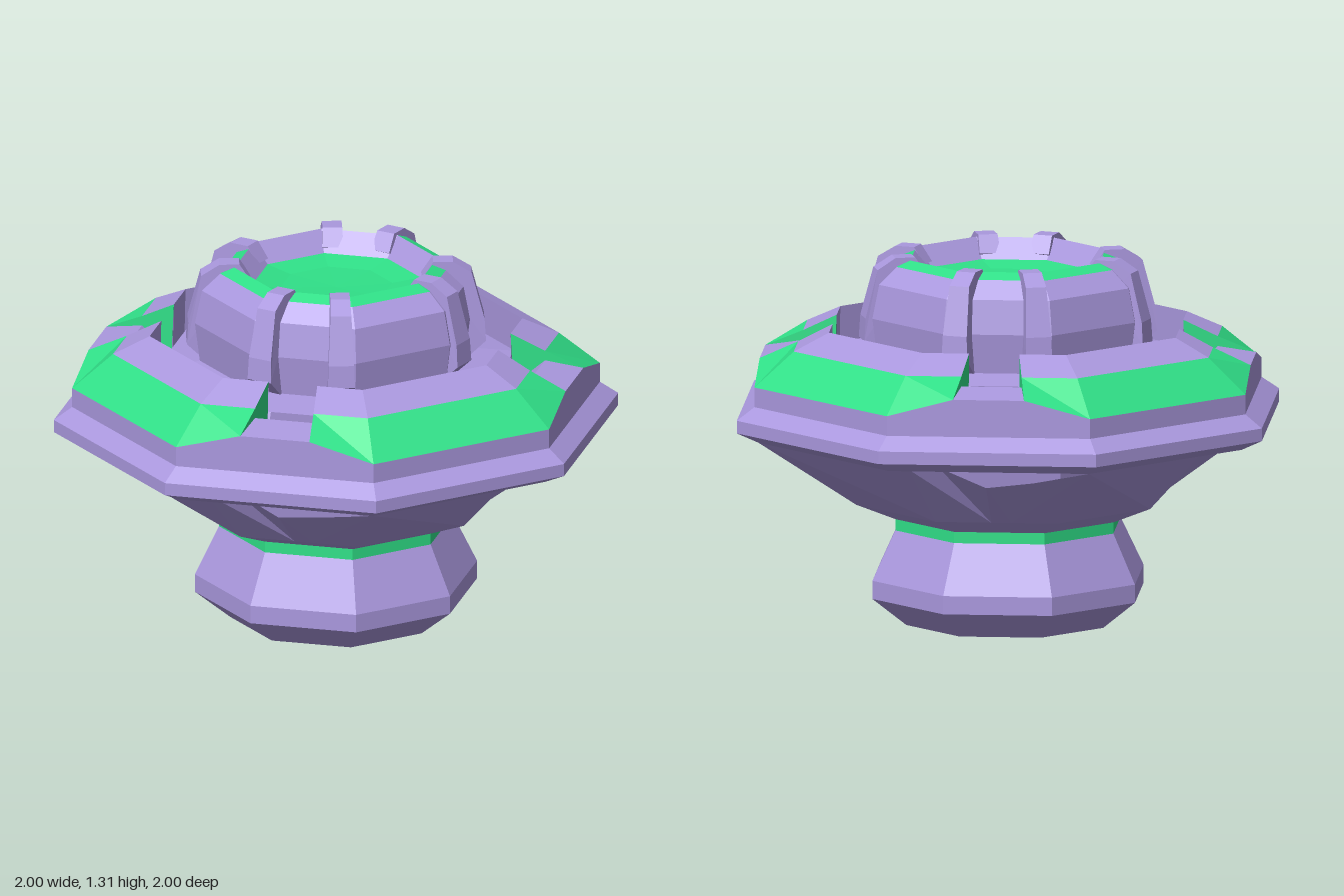
import * as THREE from 'three';

const purple = new THREE.MeshStandardMaterial({ color: 0xaa98de, flatShading: true, side: THREE.DoubleSide });
const green = new THREE.MeshStandardMaterial({ color: 0x30e088, flatShading: true, side: THREE.DoubleSide });

// Point on an octagon of corner radius r; t counts sides from the front corner towards -x
function P(t, r, y) {
  const i = Math.floor(t), f = t - i, a = i * Math.PI / 4, b = a + Math.PI / 4;
  return [-r * (Math.sin(a) * (1 - f) + Math.sin(b) * f), y, r * (Math.cos(a) * (1 - f) + Math.cos(b) * f)];
}

// Mesh from a list of flat triangles and quads (each an array of points)
function facets(name, polys, material) {
  const pos = [];
  for (const p of polys)
    for (let i = 1; i + 1 < p.length; i++) pos.push(...p[0], ...p[i], ...p[i + 1]);
  const g = new THREE.BufferGeometry();
  g.setAttribute('position', new THREE.Float32BufferAttribute(pos, 3));
  g.computeVertexNormals();
  const m = new THREE.Mesh(g, material);
  m.name = name;
  return m;
}

// Quads between neighbouring stations; each station is { t, rows: [[r, y], ...] }
function loft(stations, from, to) {
  const polys = [];
  for (let s = 0; s + 1 < stations.length; s++)
    for (let j = from; j < to; j++) {
      const [A, B] = [stations[s], stations[s + 1]];
      polys.push([P(A.t, ...A.rows[j]), P(A.t, ...A.rows[j + 1]), P(B.t, ...B.rows[j + 1]), P(B.t, ...B.rows[j])]);
    }
  return polys;
}

function lathe(name, points, material) {
  const g = new THREE.LatheGeometry(points.map(p => new THREE.Vector2(...p)), 8);
  const m = new THREE.Mesh(g, material);
  m.name = name;
  return m;
}

// Ring section, from the lower edge over the outside, down the inner wall and up the floor step
const rim = sill => [[0.92, 0.682], [1, 0.72], [1, 0.765], [0.935, 0.81],
  [0.935, sill], [0.79, 1], [0.66, 1.06], [0.665, 0.87], [0.635, 0.94]];
const CUT0 = 0.325, CUT1 = 0.675, SILL = 0.942;

function ringQuarter(k) {
  const g = new THREE.Group();
  g.name = 'ringQuarter';
  const o = 2 * k;
  const solid = [
    { t: o + CUT1, rows: rim(SILL) }, { t: o + 1, rows: rim(0.88) },
    { t: o + 2, rows: rim(0.88) }, { t: o + 2 + CUT0, rows: rim(SILL) }];
  g.add(facets('ringSide', loft(solid, 0, 4), purple));
  g.add(facets('ringSlope', loft(solid, 4, 5), green));
  g.add(facets('ringCrest', loft(solid, 5, 8), purple));

  // Low rim and chute that bridge the notch
  const chute = [...rim(SILL).slice(0, 5), [0.79, 0.965], [0.67, 0.87]];
  const polys = loft([{ t: o + CUT0, rows: chute }, { t: o + CUT1, rows: chute }], 0, 6);
  polys.push([P(o + CUT0, 0.67, 0.87), P(o + 0.42, 0.62, 0.84), P(o + 0.58, 0.62, 0.84), P(o + CUT1, 0.67, 0.87)]);
  g.add(facets('notchChute', polys, purple));

  // Walls either side of the chute
  const wall = [[0.79, 0.965], [0.935, SILL], [0.79, 1], [0.66, 1.06], [0.67, 0.87]];
  g.add(facets('notchWalls', [
    wall.map(p => P(o + CUT0, ...p)),
    [wall[0], ...wall.slice(1).reverse()].map(p => P(o + CUT1, ...p)),
  ], green));
  return g;
}

// Skewed underside panel with the groove beside it
function bowlQuarter(k) {
  const o = 2 * k;
  const low = t => P(o + t, 0.56, 0.44);
  const wide = t => P(o + t, 0.92, 0.682);
  const narrow = P(o + 1, 0.77, 0.663);
  const lipA = P(o + 0.26, 0.83, 0.63), lipB = P(o + 0.53, 0.8, 0.605), deep = P(o + 0.84, 0.73, 0.663);
  return facets('bowlPanel', [
    [low(0.54), narrow, low(1)],
    [low(1), narrow, wide(2), low(2)],
    [low(2), wide(2), low(2.38)],
    [wide(0), lipA, low(0.38)],
    [low(0.38), lipA, lipB, low(0.54)],
    [low(0.54), lipB, deep],
    [narrow, low(0.54), deep],
    [narrow, wide(1), wide(2)],
  ], purple);
}

// Claw gripping the turret, narrowing towards the top
function claw(angle) {
  const outline = [[0.45, 0.95], [0.525, 1.02], [0.52, 1.1], [0.475, 1.27], [0.41, 1.31], [0.34, 1.31], [0.3, 1.25], [0.4, 1.2]];
  const geo = new THREE.ExtrudeGeometry(new THREE.Shape(outline.map(p => new THREE.Vector2(...p))),
    { depth: 1, bevelEnabled: false });
  const pos = geo.attributes.position;
  for (let i = 0; i < pos.count; i++)
    pos.setZ(i, (pos.getZ(i) - 0.5) * (0.095 - 0.1 * Math.max(0, pos.getY(i) - 1.05)));
  const m = new THREE.Mesh(geo, purple);
  m.name = 'claw';
  m.rotation.y = angle;
  return m;
}

export function createModel() {
  const model = new THREE.Group();
  model.name = 'octagonalEmplacement';

  // Pedestal
  model.add(lathe('pedestal', [[0, 0], [0.375, 0], [0.5, 0.1], [0.5, 0.165], [0.415, 0.34]], purple));
  model.add(lathe('neckBand', [[0.415, 0.34], [0.415, 0.38]], green));
  model.add(lathe('bowlBase', [[0.415, 0.38], [0.56, 0.44]], purple));

  // Saucer
  model.add(lathe('saucerFloor', [[0.56, 0.44], [0.61, 0.68], [0.635, 0.94], [0.48, 0.96]], purple));
  for (let k = 0; k < 4; k++) model.add(ringQuarter(k), bowlQuarter(k));

  // Turret
  model.add(lathe('turretWall', [[0.48, 0.94], [0.5, 1.1], [0.475, 1.22], [0.41, 1.28]], purple));
  model.add(lathe('turretLip', [[0.41, 1.28], [0.36, 1.3]], green));
  model.add(lathe('turretInnerWall', [[0.36, 1.3], [0.3, 1.23]], purple));
  model.add(lathe('turretDish', [[0.3, 1.23], [0.2, 1.215], [0, 1.21]], green));
  for (let k = 0; k < 4; k++)
    for (const deg of [6, 39])
      model.add(claw(-THREE.MathUtils.degToRad(90 * k + 90 + deg)));
  return model;
}
